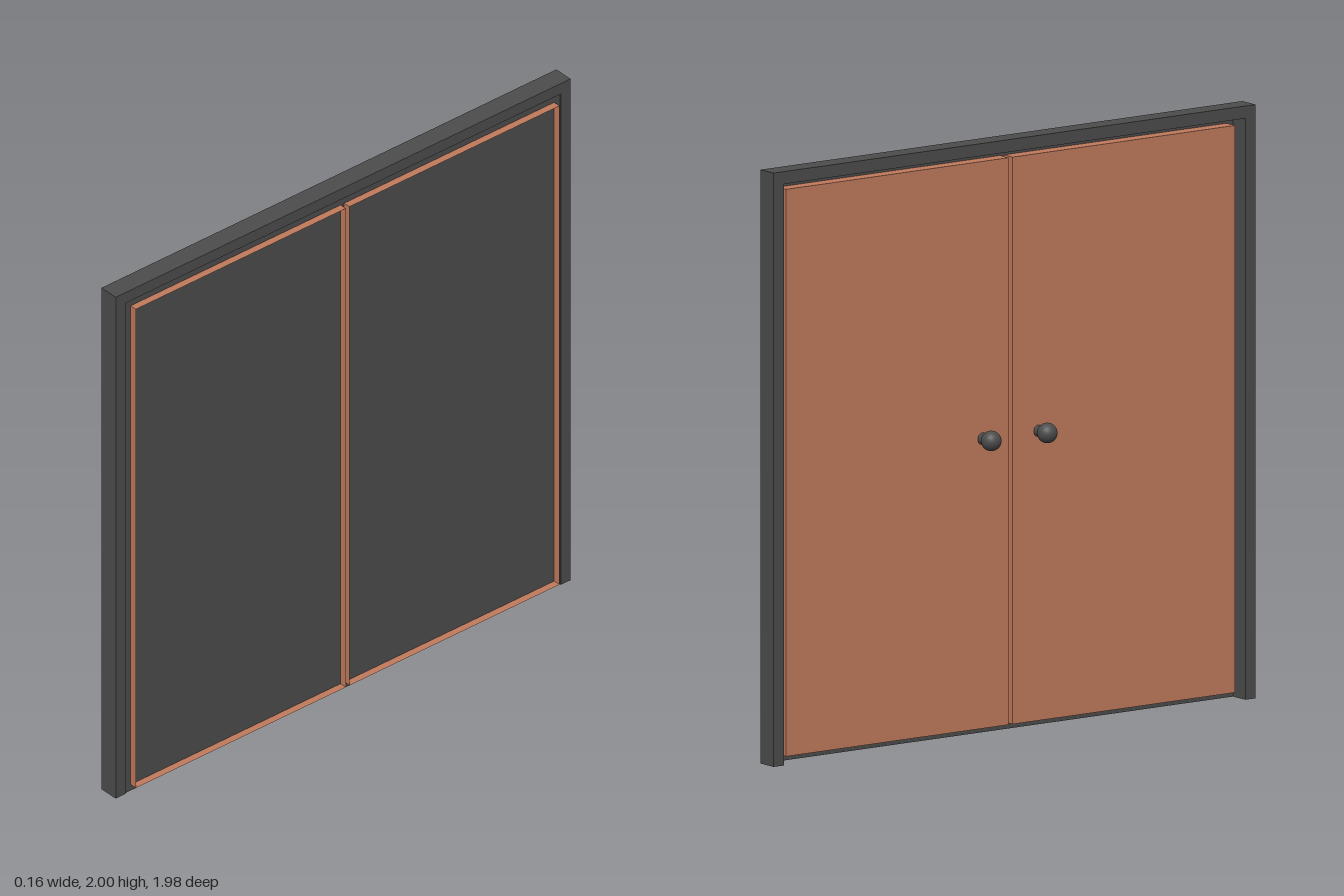
import * as THREE from 'three';

const dark = new THREE.MeshStandardMaterial({ color: 0x4c4c4c });
const darkThin = new THREE.MeshStandardMaterial({ color: 0x4c4c4c, side: THREE.DoubleSide });
const copper = new THREE.MeshStandardMaterial({ color: 0xc07a5c, side: THREE.DoubleSide });

function add(parent, name, geometry, material, x = 0, y = 0, z = 0) {
  const mesh = new THREE.Mesh(geometry, material);
  mesh.name = name;
  mesh.position.set(x, y, z);
  parent.add(mesh);
  return mesh;
}

// Box without its +x face: an open tray
function openTray(w, h, d) {
  const geometry = new THREE.BoxGeometry(w, h, d);
  geometry.setIndex(Array.from(geometry.index.array).slice(6));
  geometry.clearGroups();
  return geometry;
}

export function createModel() {
  const model = new THREE.Group();
  model.name = 'doubleDoor';

  // Frame: two jambs and a lintel, no sill
  const outer = 0.99, inner = 0.948, top = 2, head = 1.958;
  const shape = new THREE.Shape([
    [-outer, 0], [-inner, 0], [-inner, head], [inner, head],
    [inner, 0], [outer, 0], [outer, top], [-outer, top],
  ].map(([a, b]) => new THREE.Vector2(a, b)));
  const frame = new THREE.ExtrudeGeometry(shape, { depth: 0.073, bevelEnabled: false });
  frame.rotateY(Math.PI / 2);
  add(model, 'frame', frame, dark, -0.021);

  // Backing sheet filling the opening
  const sheet = new THREE.PlaneGeometry(inner * 2, head);
  sheet.rotateY(Math.PI / 2);
  add(model, 'backingSheet', sheet, darkThin, 0.048, head / 2);

  for (const side of [-1, 1]) {
    const door = new THREE.Group();
    door.name = side > 0 ? 'frontDoor' : 'rearDoor';
    model.add(door);

    // Door leaf, open on the +x side
    add(door, 'doorLeaf', openTray(0.074, 1.91, 0.914), copper, 0.038, 0.979, side * 0.465);

    // Round knob on a short stem
    const stem = new THREE.CylinderGeometry(0.02, 0.02, 0.045, 24);
    stem.rotateZ(Math.PI / 2);
    add(door, 'knobStem', stem, dark, -0.015, 1, side * 0.115);
    add(door, 'knob', new THREE.SphereGeometry(0.034, 32, 20), dark, -0.047, 1, side * 0.115);
  }
  return model;
}
